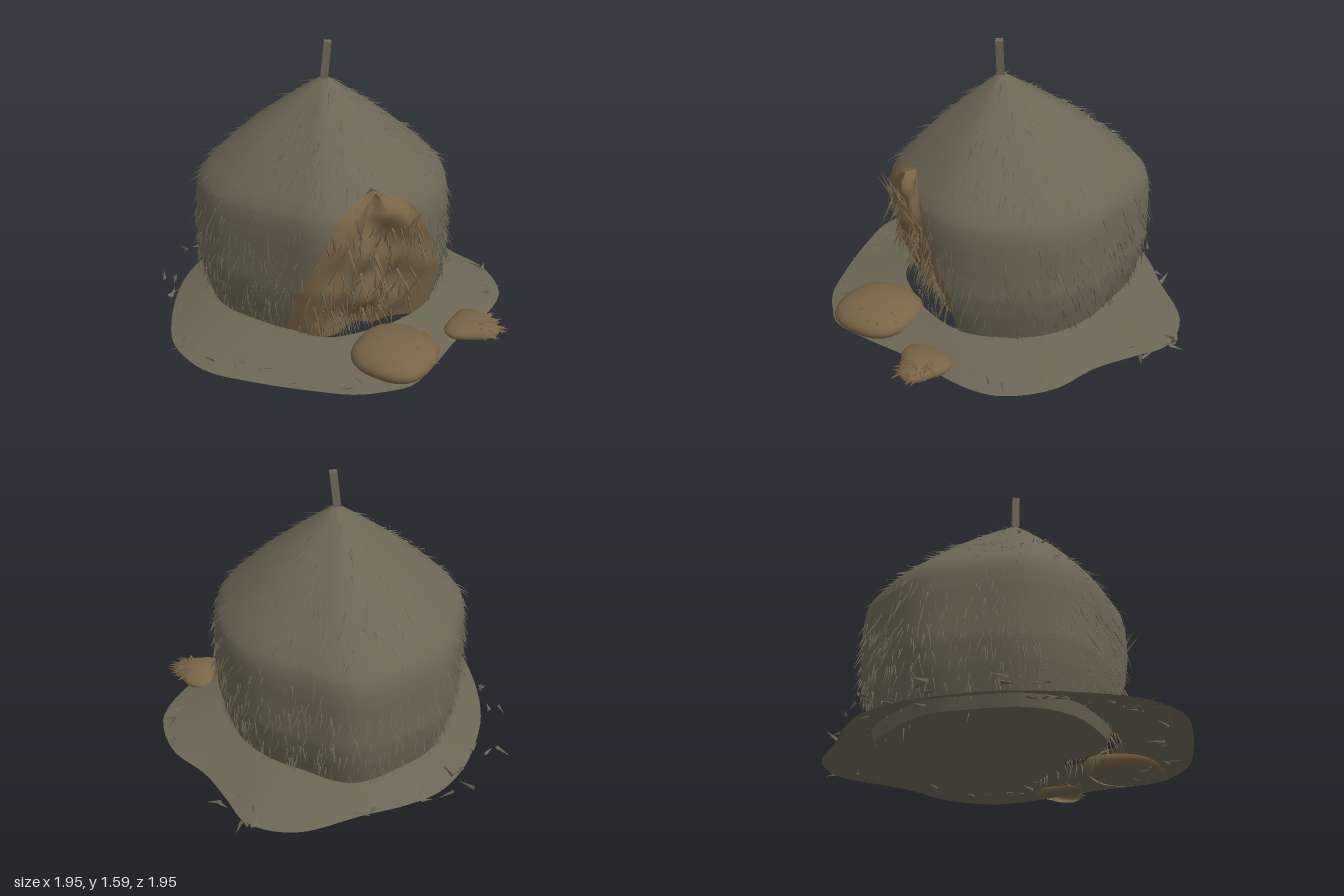
import * as THREE from 'three';
import { mergeVertices } from 'three/addons/utils/BufferGeometryUtils.js';

const V = (x, y, z) => new THREE.Vector3(x, y, z);
const TAU = Math.PI * 2;
const BASE = .08; // height of the hut's underside
const { sin, cos, PI } = Math;

// seeded random
let seed = 7;
const rnd = (a = 0, b = 1) => {
  seed = (seed * 16807) % 2147483647;
  return a + (b - a) * seed / 2147483647;
};

// piecewise-linear lookup in [key, value] pairs
function lookup(t, pairs) {
  if (t <= pairs[0][0]) return pairs[0][1];
  for (let i = 1; i < pairs.length; i++) {
    const [k0, v0] = pairs[i - 1], [k1, v1] = pairs[i];
    if (t <= k1) return v0 + (v1 - v0) * (t - k0) / (k1 - k0);
  }
  return pairs[pairs.length - 1][1];
}

// hut plan radius, every 22.5 degrees from the front towards +x
const plan = [.64, .62, .635, .67, .675, .69, .69, .7, .785, .745, .74, .69, .705, .67, .6, .585];
function radius(a) {
  const n = plan.length, s = (((a / TAU) % 1) + 1) % 1 * n;
  const i = Math.floor(s), t = s - i, p = k => plan[(i + k + n) % n];
  return p(0) + .5 * t * (p(1) - p(-1) + t * (2 * p(-1) - 5 * p(0) + 4 * p(1) - p(2)
    + t * (3 * (p(0) - p(1)) + p(2) - p(-1))));
}

// vertical profile and the two edges of the torn opening, by height
const profile = [[.08, .88], [.2, .93], [.3, .97], [.42, 1], [.7, 1], [.78, .99], [.84, .965], [.9, .9],
  [1, .75], [1.1, .59], [1.2, .41], [1.3, .22], [1.36, .1], [1.39, .04], [1.41, 0]];
const edgeA = [[.08, -.42], [.35, -.3], [.5, -.17], [.7, 0], [.85, .11], [.9, .22], [.93, .36], [.945, .47]];
const edgeB = [[.08, 1.19], [.4, 1.14], [.6, 1.02], [.8, .86], [.88, .76], [.92, .62], [.945, .47]];

function surf(a, y, off = 0) {
  const r = radius(a) * lookup(y, profile) + off;
  return V(r * sin(a), y, r * cos(a) + .03 * Math.max(0, (y - .8) / .6));
}
function frame(a, y) {
  const p = surf(a, y), e = .02;
  const across = surf(a + e, y).sub(p).normalize();
  const up = surf(a, y + e).sub(surf(a, y - e)).normalize();
  return { p, across, up, normal: V(0, 0, 0).crossVectors(across, up).normalize() };
}

// smooth surface from a rule fn(u, v)
function grid(nu, nv, fn) {
  const pos = [], idx = [];
  for (let j = 0; j <= nv; j++)
    for (let i = 0; i <= nu; i++) pos.push(...fn(i / nu, j / nv).toArray());
  for (let j = 0; j < nv; j++)
    for (let i = 0; i < nu; i++) {
      const k = j * (nu + 1) + i, m = k + nu + 1;
      idx.push(k, k + 1, m, k + 1, m + 1, m);
    }
  let g = new THREE.BufferGeometry();
  g.setAttribute('position', new THREE.Float32BufferAttribute(pos, 3));
  g.setIndex(idx);
  g = mergeVertices(g);
  g.computeVertexNormals();
  return g;
}

// collects thin three-sided spikes into one geometry
class Tuft {
  pos = [];
  add(base, dir, len, w) {
    const d = dir.clone().normalize();
    const s = V(0, 0, 0).crossVectors(d, Math.abs(d.y) < .9 ? V(0, 1, 0) : V(1, 0, 0)).normalize();
    const t = V(0, 0, 0).crossVectors(d, s);
    const tip = base.clone().addScaledVector(d, len);
    const c = [0, 1, 2].map(i => base.clone()
      .addScaledVector(s, w * cos(i * TAU / 3)).addScaledVector(t, w * sin(i * TAU / 3)));
    for (let i = 0; i < 3; i++)
      for (const q of [c[i], c[(i + 1) % 3], tip]) this.pos.push(q.x, q.y, q.z);
  }
  geometry() {
    const g = new THREE.BufferGeometry();
    g.setAttribute('position', new THREE.Float32BufferAttribute(this.pos, 3));
    g.computeVertexNormals();
    return g;
  }
}

const groundOutline = [[-.02, -.89], [-.26, -.84], [-.45, -.765], [-.61, -.61], [-.73, -.4], [-.81, -.19],
  [-.845, .05], [-.84, .35], [-.81, .51], [-.74, .64], [-.61, .775], [-.34, .88], [-.07, .95], [.14, .985],
  [.3, .96], [.43, .91], [.58, .7], [.7, .5], [.82, .35], [.95, .16], [1, 0], [.94, -.27], [.77, -.48],
  [.66, -.695], [.59, -.845], [.49, -.925], [.3, -.97]];

export function createModel() {
  seed = 7;
  const model = new THREE.Group();
  const mat = (name, color) => new THREE.MeshStandardMaterial({ name, color, side: THREE.DoubleSide });
  const thatch = mat('greyThatch', 0x6b6654), brown = mat('brownEarth', 0x796546);
  const add = (name, geo, m) => {
    const mesh = new THREE.Mesh(geo, m);
    mesh.name = name;
    model.add(mesh);
    return mesh;
  };

  // pointed hut, each ring running round from one opening edge to the other
  add('hutShell', grid(72, 56, (u, v) => {
    const y = BASE + (1.41 - BASE) * v, a1 = lookup(y, edgeA), a2 = lookup(y, edgeB);
    return surf(a2 + u * (TAU - a2 + a1), y);
  }), thatch);

  // crumpled lining, sinking inwards towards the bottom of the opening
  const lining = (u, v) => {
    const y = BASE + (.945 - BASE) * v, a1 = lookup(y, edgeA), a2 = lookup(y, edgeB);
    const w = Math.max(0, sin(PI * u ** 1.25)) ** .9;
    const folds = sin(11 * u + 7 * v) + sin(19 * u - 11 * v + 1) + .8 * sin(6 * u + 19 * v);
    return surf(a1 + u * (a2 - a1), y, w * (-.17 * (1 - v) ** .8 + .035 * v + .018 * folds));
  };
  add('openingLining', grid(40, 40, lining), brown);

  // flat underside closing the hut
  const a1 = lookup(BASE, edgeA), a2 = lookup(BASE, edgeB);
  add('floor', grid(72, 6, (u, v) => {
    const a = a1 + u * TAU;
    const p = a < a2 ? lining((a - a1) / (a2 - a1), 0) : surf(a, BASE);
    return V(p.x * (1 - v), BASE, p.z * (1 - v));
  }), thatch);

  // ring of sloping ground around the hut
  const edge = new THREE.CatmullRomCurve3(groundOutline.map(([x, z]) => V(x, .075, z)), true);
  add('ground', grid(96, 4, (u, v) => {
    const p = edge.getPoint(u % 1), a = Math.atan2(p.x, p.z), r = radius(a) * .9;
    return p.lerp(V(r * sin(a), .145, r * cos(a)), v);
  }), thatch);

  // crooked stalk on the peak
  const stalk = add('stalk', new THREE.BoxGeometry(.04, .2, .04), thatch);
  stalk.position.set(.008, 1.493, .034);
  stalk.rotation.set(.03, 0, -.1);

  // low lumpy stones
  const stones = [
    { name: 'largeStone', c: V(.355, .12, .69), r: [.225, .095, .235], lump: .04, n: 4, ph: .6, bristles: 9 },
    { name: 'smallStone', c: V(.785, .1, .41), r: [.14, .052, .135], lump: .15, n: 3, ph: -1.57, bristles: 36 }];
  for (const s of stones) {
    s.at = (a, e) => {
      const k = 1 + s.lump * sin(s.n * a + s.ph) * cos(e);
      return V(s.c.x + s.r[0] * k * cos(e) * sin(a), s.c.y + s.r[1] * sin(e), s.c.z + s.r[2] * k * cos(e) * cos(a));
    };
    add(s.name, grid(32, 14, (u, v) => {
      const p = s.at((u % 1) * TAU, -.55 + v * (PI / 2 + .55));
      p.y = Math.max(p.y, .075);
      return p;
    }), brown);
  }

  // straw lying down the shell, denser low on the walls
  const straw = new Tuft(), brownStraw = new Tuft(), litter = new Tuft();
  for (let i = 0; i < 1500; i++) {
    const low = i < 850;
    const y = low ? rnd(.17, .62) : rnd(.62, 1.38);
    const a = rnd(-PI, PI);
    if (!low && rnd() > lookup(y, profile) + .2) continue;
    if (a > lookup(y, edgeA) && a < lookup(y, edgeB) && y < .945) continue;
    const f = frame(a, y);
    const dir = f.up.multiplyScalar(-1).addScaledVector(f.normal, rnd(.12, .55)).addScaledVector(f.across, rnd(-.35, .35));
    straw.add(f.p, dir, rnd(.05, .11), rnd(.0025, .0045));
  }
  add('shellStraw', straw.geometry(), thatch);

  // ragged strands in the opening
  for (let i = 0; i < 240; i++) {
    const p = lining(rnd(.06, .94), .05 + rnd(.02, 1) ** 1.4 * .75);
    const out = V(p.x, 0, p.z).normalize();
    const dir = V(rnd(-.4, .4), rnd() < .5 ? 1 : -1, rnd(-.3, .3)).addScaledVector(out, rnd(.1, .5));
    const len = dir.y < 0 ? Math.min(rnd(.08, .18), p.y - .03) : rnd(.08, .18);
    (i % 3 ? brownStraw : litter).add(p, dir, len, rnd(.004, .008));
  }

  // bristles on the stones
  for (const s of stones)
    for (let i = 0; i < s.bristles; i++) {
      const p = s.at(rnd(.3, 2.6), rnd(0, 1.1));
      const dir = p.clone().sub(s.c).normalize().add(V(rnd(-.5, .5), rnd(-.1, .1), rnd(-.5, .5)));
      dir.y *= .3;
      brownStraw.add(p, dir, rnd(.03, .06), .008);
    }
  add('brownStraw', brownStraw.geometry(), brown);

  // litter on the ground and loose beyond its back edge
  for (let i = 0; i < 90; i++) {
    const p = edge.getPoint(rnd()), loose = i < 50 && p.z < .1;
    p.multiplyScalar(loose ? rnd(.98, p.x < 0 ? 1.17 : 1.08) : rnd(.82, .97));
    p.x = THREE.MathUtils.clamp(p.x, -.93, .93);
    p.z = Math.max(p.z, -.92);
    p.y = loose ? .1 : .09;
    const t = rnd(0, TAU);
    litter.add(p, V(sin(t), rnd(-.1, .2), cos(t)), rnd(.05, .1), loose ? rnd(.009, .014) : rnd(.005, .01));
  }
  // roots hanging beneath the hut
  for (let i = 0; i < 16; i++)
    litter.add(surf(rnd(-.3, 1.2) + (i % 4 ? 0 : PI), .1, -.05), V(rnd(-.2, .2), -1, rnd(-.2, .2)), i ? rnd(.04, .08) : .1, .006);
  add('groundLitter', litter.geometry(), thatch);
  return model;
}
